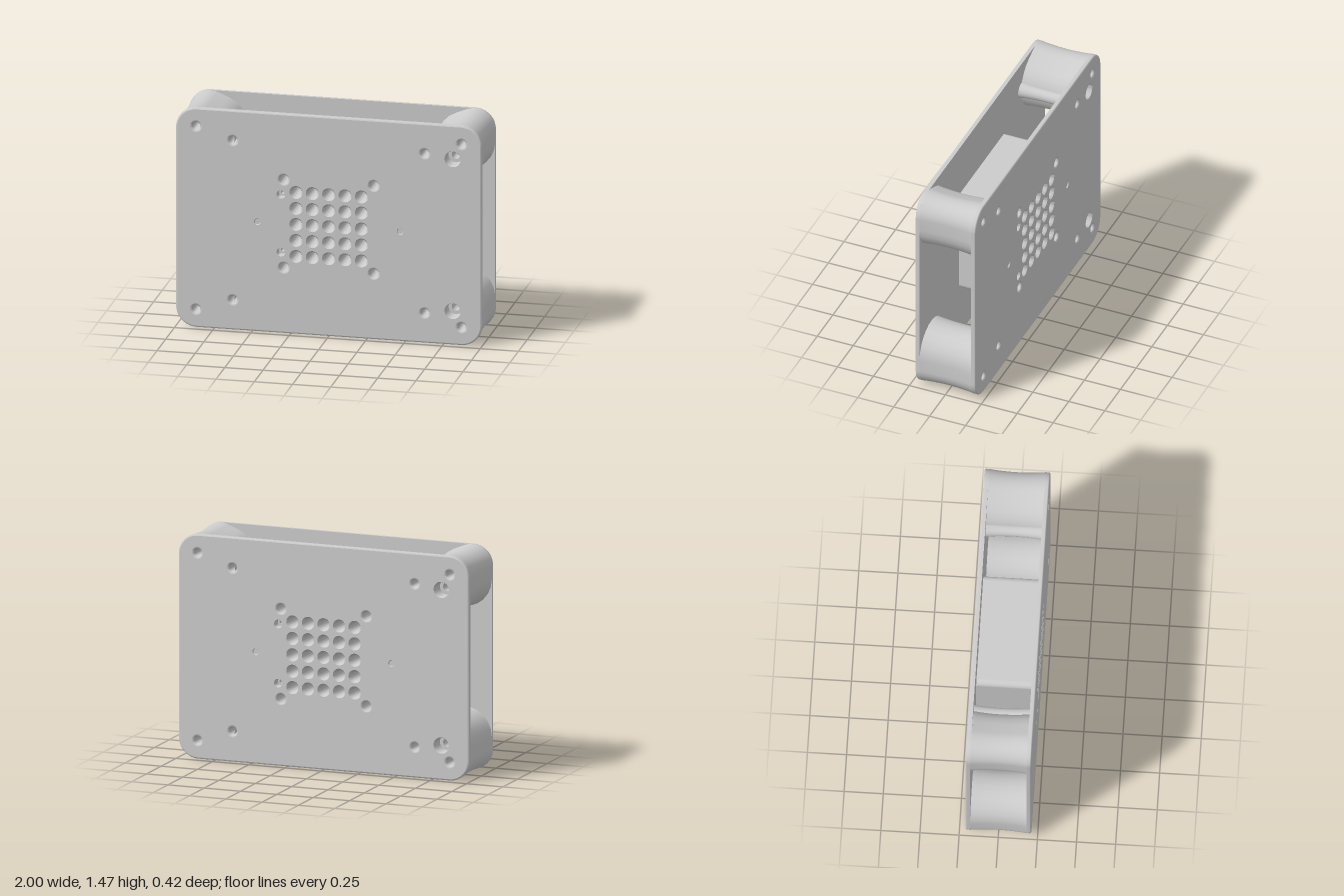
import * as THREE from 'three';
import { toCreasedNormals } from 'three/addons/utils/BufferGeometryUtils.js';

const MID_Y = 0.735;   // model is built around its centre, then raised
const OUT = 0.21;      // outer face of a plate
const IN = 0.18;       // inner face of a plate
const SEG = 32;

const grey = new THREE.MeshStandardMaterial({ color: 0xcccccc });
const greyDouble = new THREE.MeshStandardMaterial({ color: 0xcccccc, side: THREE.DoubleSide });

function add(group, name, geometry, material = grey) {
  const mesh = new THREE.Mesh(geometry, material);
  mesh.name = name;
  group.add(mesh);
  return mesh;
}

// Closed loop made of arcs [cx, cy, radius, startDeg, endDeg]; inset shrinks every radius
function ring(arcs, inset = 0, steps = 16) {
  const pts = [];
  for (const [cx, cy, r, a0, a1] of arcs) {
    const full = a1 - a0 >= 360;
    const n = full ? SEG : steps;
    for (let i = 0; i < n + (full ? 0 : 1); i++) {
      const a = THREE.MathUtils.degToRad(a0 + (a1 - a0) * i / n);
      pts.push(new THREE.Vector2(cx + (r - inset) * Math.cos(a), cy + (r - inset) * Math.sin(a)));
    }
  }
  return pts;
}

// Rounded rectangle as four corner arcs
function roundedRect(hw, hh, r) {
  const x = hw - r, y = hh - r;
  return [[x, y, r, 0, 90], [-x, y, r, 90, 180], [-x, -y, r, 180, 270], [x, -y, r, 270, 360]];
}

const circle = (x, y, r) => [[x, y, r, 0, 360]];

// Wall through layers [z, inset] of one outline, mirrored by sx and sy
function wall(arcs, layers, sx = 1, sy = 1) {
  const pos = [], idx = [];
  let n = 0;
  layers.forEach(([z, inset]) => {
    const pts = ring(arcs, inset);
    if (sx * sy < 0) pts.reverse();
    n = pts.length;
    pts.forEach((p) => pos.push(p.x * sx, p.y * sy, z));
  });
  for (let l = 0; l < layers.length - 1; l++) {
    for (let i = 0; i < n; i++) {
      const a = l * n + i, b = l * n + (i + 1) % n;
      idx.push(a, b, b + n, a, b + n, a + n);
    }
  }
  const g = new THREE.BufferGeometry();
  g.setAttribute('position', new THREE.Float32BufferAttribute(pos, 3));
  g.setIndex(idx);
  g.computeVertexNormals();
  return g;
}

// Slightly waisted layers between the plates
const waist = [];
for (let i = 0; i <= 12; i++) {
  const t = -1 + i / 6;
  waist.push([t * IN, 0.011 * (1 - t * t)]);
}

// Hole profiles as [radius, z], from the outer face inwards
function flared(r, f) {
  const pts = [];
  for (let i = 0; i <= 5; i++) {
    const a = i / 5 * Math.PI / 2;
    pts.push([r + f * (1 - Math.sin(a)), OUT - f * (1 - Math.cos(a))]);
  }
  return [...pts, [r, 0]];
}
const screwHole = flared(0.025, 0.015);
const blockHole = flared(0.03, 0.012);
const ventHole = [[0.043, OUT], [0.031, OUT - 0.02], [0.031, 0]];
const counterbore = [[0.053, OUT], [0.05, OUT - 0.005], [0.05, 0.11], [0.028, 0.11], [0.028, -0.06], [0, -0.06]];
const pinHole = [[0.028, OUT], [0.026, OUT - 0.004], [0.026, 0.15], [0.014, 0.15], [0.014, 0.08], [0, 0.08]];
const dimple = [[0.022, OUT], [0.018, OUT - 0.008], [0, OUT - 0.008]];

// All holes of one plate: [name, x, y, profile, radius at the inner face]
function holeList() {
  const list = [];
  for (const sx of [-1, 1]) {
    for (const sy of [-1, 1]) {
      list.push(['cornerScrewHole', sx * 0.868, sy * 0.612, screwHole, 0.025]);
      list.push(['postScrewHole', sx * 0.627, sy * 0.533, screwHole, 0.025]);
      list.push(['blockScrewHole', sx * 0.294, sy * 0.294, blockHole, 0.03]);
    }
    list.push(['dimple', sx * 0.467, 0, dimple, 0]);
    list.push(['counterbore', 0.81, sx * 0.508, counterbore, 0.05]);
    list.push(['pinHole', -0.313, sx * 0.193, pinHole, 0.026]);
  }
  for (let i = -2; i <= 2; i++) {
    for (let j = -2; j <= 2; j++) list.push(['ventHole', i * 0.107, j * 0.107, ventHole, 0.031]);
  }
  return list;
}

// Flat sheet at height z, with round openings
function sheet(arcs, inset, openings, z) {
  const shape = new THREE.Shape(ring(arcs, inset));
  for (const [x, y, r] of openings) {
    if (r > 0) shape.holes.push(new THREE.Path(ring(circle(x, y, r))));
  }
  return new THREE.ShapeGeometry(shape).translate(0, 0, z);
}

function makePlate(name) {
  const plate = new THREE.Group();
  plate.name = name;
  const outline = roundedRect(1, 0.733, 0.135);
  const holes = holeList();
  add(plate, 'outerFace', sheet(outline, 0.01, holes.map(([, x, y, p]) => [x, y, p[0][0]]), OUT));
  add(plate, 'innerFace', sheet(outline, 0, holes.map(([, x, y, , r]) => [x, y, r]), IN), greyDouble);
  add(plate, 'rim', wall(outline, [[IN, 0], [OUT - 0.01, 0], [OUT - 0.006, 0.001], [OUT - 0.003, 0.003], [OUT, 0.01]]));
  for (const [holeName, x, y, profile] of holes) {
    const pts = profile.map(([r, z]) => new THREE.Vector2(r, z));
    const g = toCreasedNormals(new THREE.LatheGeometry(pts, SEG), 0.6);
    g.rotateX(Math.PI / 2);
    add(plate, holeName, g, greyDouble).position.set(x, y, 0);
  }
  return plate;
}

export function createModel() {
  const model = new THREE.Group();
  model.name = 'plateHousing';
  const body = new THREE.Group();
  body.name = 'body';
  body.position.y = MID_Y;
  model.add(body);

  // Two identical plates, the back one turned half a turn
  const back = makePlate('backPlate');
  back.rotation.y = Math.PI;
  body.add(makePlate('frontPlate'), back);

  // Rounded corner pillars and the thin posts beside them
  const pillar = [[0.865, 0.598, 0.135, 0, 111], [0.81, 0.516, 0.19, 111, 360]];
  const post = circle(0.627, 0.533, 0.052);
  for (const sx of [-1, 1]) {
    for (const sy of [-1, 1]) {
      add(body, 'cornerPillar', wall(pillar, waist, sx, sy));
      add(body, 'post', wall(post, waist, sx, sy));
    }
  }

  // Central block carrying the vent grid
  add(body, 'centreBlock', wall(roundedRect(0.372, 0.372, 0.04), [[-IN, 0], [IN, 0]]));
  return model;
}
